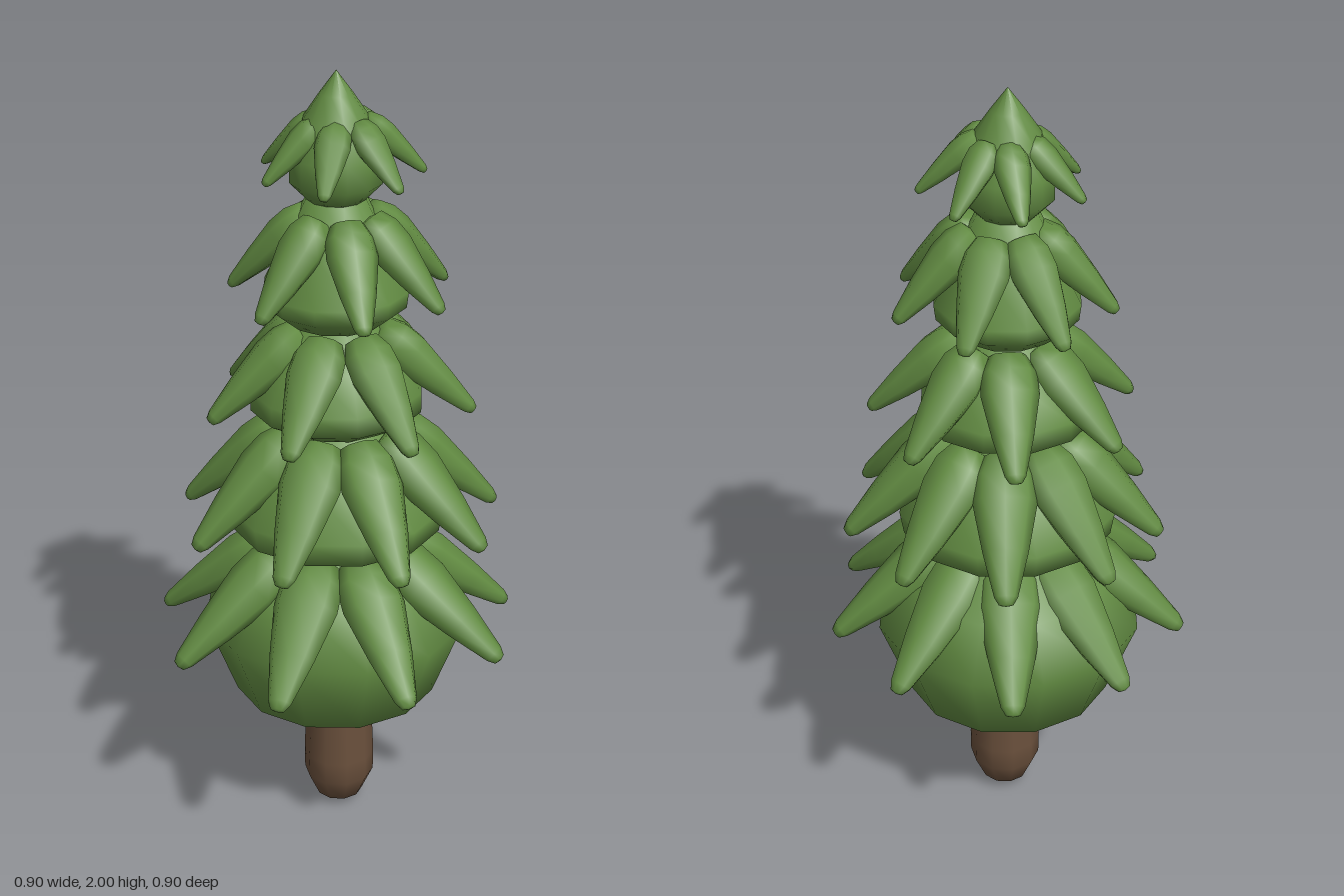
import * as THREE from 'three';

const green = new THREE.MeshStandardMaterial({ color: 0x628b42 });
green.name = 'needle green';
const brown = new THREE.MeshStandardMaterial({ color: 0x6a503c });
brown.name = 'bark brown';

// Revolve a short [radius, height] profile
function lathe(name, profile, sides, material) {
  const points = profile.map(([r, y]) => new THREE.Vector2(r, y));
  const mesh = new THREE.Mesh(new THREE.LatheGeometry(points, sides), material);
  mesh.name = name;
  return mesh;
}

// Rounded, slightly flattened spike running from root to tip ([radius, height])
function spikeGeometry(root, tip, width) {
  const dr = tip[0] - root[0], dy = tip[1] - root[1];
  const length = Math.hypot(dr, dy);
  const profile = [[0, 0], [0.65, 0.02], [0.95, 0.15], [1, 0.32], [0.7, 0.65], [0.36, 0.94], [0.22, 0.99], [0, 1]];
  const points = profile.map(([w, t]) => new THREE.Vector2(w * width, t * length));
  const geometry = new THREE.LatheGeometry(points, 8);
  geometry.scale(0.75, 1, 1);
  geometry.rotateZ(Math.atan2(dy, dr) - Math.PI / 2);
  geometry.translate(root[0], root[1], 0);
  return geometry;
}

// Tiers from bottom to top: foliage profile plus spike directions in degrees
const tiers = [
  { body: [[0, 0.295], [0.09, 0.305], [0.26, 0.365], [0.338, 0.57], [0.265, 0.7], [0.13, 0.83], [0, 0.87]],
    root: [0.14, 0.795], tip: [0.453, 0.548], width: 0.082, x: 0, z: 0,
    angles: [0, 39, 81, 122, 164, 206, 245, 283, 322] },
  { body: [[0, 0.775], [0.17, 0.79], [0.265, 0.84], [0.275, 0.9], [0.21, 1.02], [0.09, 1.15], [0, 1.18]],
    root: [0.125, 1.105], tip: [0.4, 0.85], width: 0.079, x: 0.012, z: -0.012,
    angles: [2, 42, 82, 124, 166, 208, 245, 284, 323] },
  { body: [[0, 1.1], [0.14, 1.115], [0.215, 1.16], [0.215, 1.21], [0.165, 1.3], [0.07, 1.41], [0, 1.43]],
    root: [0.095, 1.365], tip: [0.33, 1.15], width: 0.07, x: 0.012, z: -0.015,
    angles: [18, 72, 125, 177, 229, 280, 328] },
  { body: [[0, 1.375], [0.12, 1.385], [0.175, 1.43], [0.18, 1.47], [0.13, 1.57], [0.075, 1.69], [0, 1.7]],
    root: [0.075, 1.655], tip: [0.272, 1.45], width: 0.062, x: 0.014, z: -0.015,
    angles: [-6, 42, 92, 148, 204, 253, 304] },
  { body: [[0, 1.685], [0.07, 1.69], [0.113, 1.735], [0.112, 1.8], [0.08, 1.885], [0.04, 1.945], [0, 2]],
    root: [0.055, 1.885], tip: [0.2, 1.75], width: 0.043, x: 0.016, z: -0.02,
    angles: [10, 60, 115, 167, 216, 272, 319] },
];

export function createModel() {
  const tree = new THREE.Group();
  tree.name = 'pineTree';

  // Trunk with a rounded foot
  const trunk = lathe('trunk', [[0, 0], [0.06, 0.025], [0.09, 0.09], [0.091, 0.15], [0.082, 0.36]], 10, brown);
  trunk.position.set(0.01, 0, -0.015);
  tree.add(trunk);

  tiers.forEach((t, i) => {
    const tier = new THREE.Group();
    tier.name = `foliageTier${i + 1}`;

    const body = lathe('foliageBody', t.body, 12, green);
    body.position.set(0.005, 0, i === 0 ? -0.033 : -0.02);
    tier.add(body);

    // Ring of spikes
    const geometry = spikeGeometry(t.root, t.tip, t.width);
    for (const angle of t.angles) {
      const spike = new THREE.Mesh(geometry, green);
      spike.name = 'branchSpike';
      spike.position.set(t.x, 0, t.z);
      spike.rotation.y = -THREE.MathUtils.degToRad(angle);
      tier.add(spike);
    }
    tree.add(tier);
  });

  return tree;
}
